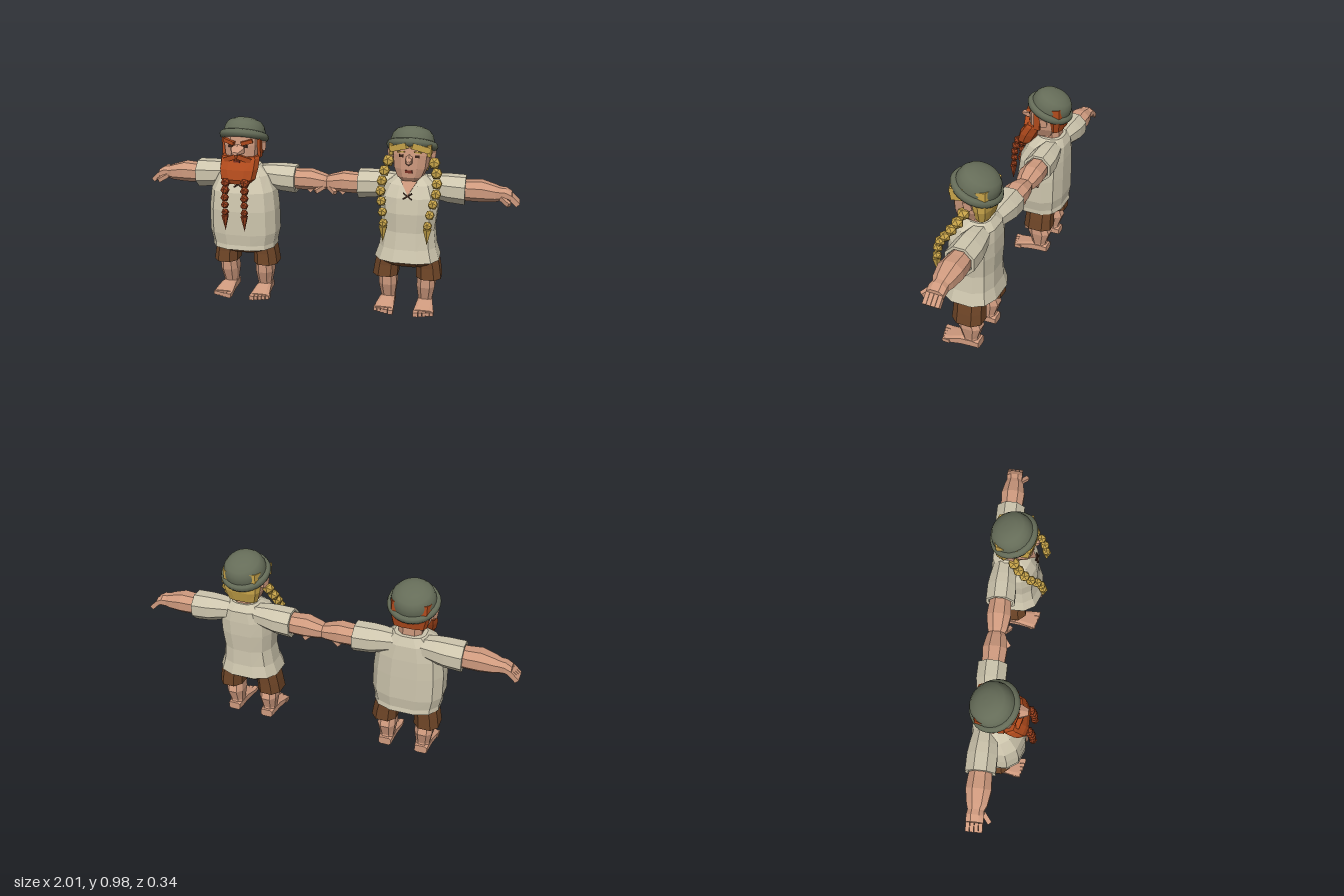
import * as THREE from 'three';

const colours = {
  skin: 0xcf9a7e, shirt: 0xcdc5ad, trousers: 0x6e4527, hat: 0x656c58, ginger: 0xb04a1c,
  gingerBraid: 0x983f1d, blond: 0xc9a54a, dark: 0x3a241a, lips: 0x7a2f24,
};
const mats = {};
for (const [name, color] of Object.entries(colours)) {
  mats[name] = new THREE.MeshStandardMaterial({ color, flatShading: name !== 'hat' });
  mats[name].name = name;
}

// Maps ring coordinates (u across, t along, v outward) so that t runs along the given axis
const place = {
  y: (u, t, v) => [u, t, v],
  x: (u, t, v) => [t, v, u],
  z: (u, t, v) => [v, u, t],
};

// Skin over rings [t, u centre, v centre, u half-size, v half-size], ascending in t
function loft(axis, rings, n = 8, power = 0.8) {
  const pow = (a) => Math.sign(a) * Math.abs(a) ** power;
  const circle = [];
  for (let i = 0; i < n; i++) {
    const a = ((i + 0.5) / n) * Math.PI * 2;
    circle.push([pow(Math.sin(a)), pow(Math.cos(a))]);
  }
  const mu = Math.max(...circle.map((p) => Math.abs(p[0])));
  const mv = Math.max(...circle.map((p) => Math.abs(p[1])));
  const pos = [], index = [];
  for (const [t, cu, cv, ru, rv] of rings)
    for (const [u, v] of circle) pos.push(...place[axis](cu + (ru * u) / mu, t, cv + (rv * v) / mv));
  const last = rings.length - 1;
  for (let r = 0; r < last; r++)
    for (let i = 0; i < n; i++) {
      const j = (i + 1) % n, a = r * n + i, b = r * n + j;
      index.push(a, b, b + n, a, b + n, a + n);
    }
  for (let i = 1; i < n - 1; i++) {
    index.push(0, i + 1, i);
    index.push(last * n, last * n + i, last * n + i + 1);
  }
  const g = new THREE.BufferGeometry();
  g.setAttribute('position', new THREE.Float32BufferAttribute(pos, 3));
  g.setIndex(index);
  return finish(g);
}

function finish(g) {
  const out = g.index ? g.toNonIndexed() : g;
  out.computeVertexNormals();
  return out;
}

// Upright body rings given as [y, half width, front z, back z]
const body = (rings, n, power) =>
  loft('y', rings.map(([y, w, f, b]) => [y, 0, (f + b) / 2, w, (f - b) / 2]), n, power);

function box(size, at, rot = [0, 0, 0]) {
  const g = new THREE.BoxGeometry(...size);
  g.applyMatrix4(new THREE.Matrix4().makeRotationFromEuler(new THREE.Euler(...rot)));
  return g.translate(...at);
}

// Mirrors a geometry in x, keeping its faces outward
function mirror(g) {
  const out = g.index ? g.toNonIndexed() : g.clone();
  const p = out.attributes.position;
  for (let i = 0; i < p.count; i += 3) {
    const tri = [0, 2, 1].map((k) => [-p.getX(i + k), p.getY(i + k), p.getZ(i + k)]);
    tri.forEach((v, k) => p.setXYZ(i + k, ...v));
  }
  out.computeVertexNormals();
  return out;
}

function add(group, name, geo, mat) {
  const m = new THREE.Mesh(geo, mats[mat]);
  m.name = name;
  group.add(m);
  return m;
}
function pair(group, name, geo, mat) {
  add(group, 'left' + name, geo, mat);
  add(group, 'right' + name, mirror(geo), mat);
}

function addLimbs(g) {
  // sleeves with a turned-in cuff, arms and hands
  pair(g, 'Sleeve', loft('x', [
    [0.07, -0.085, 0.665, 0.055, 0.05], [0.14, -0.085, 0.66, 0.068, 0.063], [0.19, -0.086, 0.655, 0.074, 0.07],
    [0.278, -0.086, 0.65, 0.074, 0.073], [0.279, -0.086, 0.65, 0.06, 0.06], [0.255, -0.086, 0.65, 0.058, 0.058],
  ], 8, 1), 'shirt');
  pair(g, 'Arm', loft('x', [
    [0.24, -0.085, 0.65, 0.05, 0.05], [0.3, -0.085, 0.65, 0.058, 0.051], [0.36, -0.085, 0.652, 0.062, 0.053],
    [0.43, -0.085, 0.644, 0.05, 0.041], [0.455, -0.087, 0.642, 0.04, 0.034], [0.48, -0.088, 0.644, 0.043, 0.031],
    [0.512, -0.088, 0.632, 0.042, 0.024],
  ], 8, 0.9), 'skin');
  for (let i = 0; i < 4; i++)
    pair(g, 'Finger' + (i + 1), box([0.055, 0.024, 0.019], [0.526, 0.614, -0.12 + i * 0.021], [0, 0, -0.75]), 'skin');
  pair(g, 'Thumb', box([0.06, 0.022, 0.022], [0.482, 0.616, -0.036], [0, -0.7, -0.4]), 'skin');

  // shorts, lower legs, feet and toes
  add(g, 'hips', body([[0.25, 0.11, 0.05, -0.11], [0.28, 0.155, 0.085, -0.145], [0.305, 0.155, 0.085, -0.145]], 10), 'trousers');
  pair(g, 'TrouserLeg', loft('y', [
    [0.178, 0.115, -0.04, 0.066, 0.08], [0.24, 0.11, -0.042, 0.062, 0.076], [0.3, 0.098, -0.042, 0.062, 0.076],
  ], 8), 'trousers');
  pair(g, 'Shin', loft('y', [
    [0.02, 0.1, -0.045, 0.036, 0.045], [0.055, 0.1, -0.042, 0.037, 0.04], [0.125, 0.102, -0.042, 0.048, 0.063],
    [0.165, 0.102, -0.034, 0.046, 0.056], [0.2, 0.102, -0.036, 0.048, 0.055],
  ], 8), 'skin');
  pair(g, 'Foot', loft('z', [
    [-0.095, 0.022, 0.1, 0.022, 0.034], [-0.05, 0.026, 0.1, 0.026, 0.038], [0.0, 0.026, 0.102, 0.026, 0.041],
    [0.05, 0.019, 0.104, 0.019, 0.048], [0.09, 0.014, 0.104, 0.014, 0.052],
  ], 8, 0.5), 'skin');
  for (let i = 0; i < 5; i++) {
    const size = i ? 0.018 : 0.026;
    pair(g, 'Toe' + (i + 1), box([size, 0.024 - i * 0.001, 0.04], [(i ? 0.071 : 0.066) + i * 0.0195, 0.0125, 0.102 - i * 0.006]), 'skin');
  }
}

function addHat(g) {
  const hat = new THREE.Group();
  hat.name = 'hat';
  hat.position.set(0, 0.878, -0.043);
  hat.rotation.x = -0.4;
  const profile = [[0.112, 0], [0.111, 0.03], [0.103, 0.058], [0.085, 0.08], [0.052, 0.094], [0.025, 0.098], [0, 0.099]];
  add(hat, 'hatDome', new THREE.LatheGeometry(profile.map((p) => new THREE.Vector2(...p)), 24), 'hat');
  add(hat, 'hatBrim', new THREE.TorusGeometry(0.11, 0.022, 8, 28).rotateX(Math.PI / 2), 'hat');
  g.add(hat);
}

// Plait of faceted beads along a curve, ending in a pointed tuft
function addPlait(g, points, beads, r0, r1, mat) {
  const curve = new THREE.CatmullRomCurve3(points.map((p) => new THREE.Vector3(...p)));
  for (let i = 0; i < beads; i++) {
    const f = i / (beads - 1), p = curve.getPointAt(f);
    const r = THREE.MathUtils.lerp(r0, r1, f);
    pair(g, 'PlaitBead' + (i + 1), finish(new THREE.IcosahedronGeometry(r, 0).translate(p.x, p.y, p.z)), mat);
  }
  const end = curve.getPointAt(1);
  const tuft = new THREE.ConeGeometry(r1 * 0.95, 0.085, 6).rotateX(Math.PI).translate(end.x, end.y - 0.058, end.z + 0.004);
  pair(g, 'PlaitTuft', tuft, mat);
}

function addFace(g, noseWidth, noseTip) {
  add(g, 'neck', body([[0.68, 0.06, 0.005, -0.11], [0.8, 0.06, 0.005, -0.11]], 8), 'skin');
  add(g, 'head', body([
    [0.712, 0.045, 0.04, -0.07], [0.735, 0.07, 0.056, -0.09], [0.78, 0.09, 0.06, -0.115],
    [0.85, 0.098, 0.06, -0.125], [0.92, 0.095, 0.05, -0.12],
  ], 10, 0.7), 'skin');
  add(g, 'nose', loft('z', [
    [0.05, 0.83, 0, 0.032, noseWidth], [0.08, 0.825, 0, 0.022, noseWidth * 0.9], [noseTip, 0.82, 0, 0.008, noseWidth * 0.45],
  ], 6, 0.9), 'skin');
  pair(g, 'Ear', box([0.022, 0.05, 0.035], [0.106, 0.835, -0.045], [0.2, 0.35, -0.15]), 'skin');
  pair(g, 'Eye', box([0.022, 0.013, 0.008], [0.04, 0.848, 0.059]), 'dark');
  // crossed lacing at the neck
  for (const s of [-1, 1])
    add(g, 'lace', box([0.055, 0.007, 0.008], [0, 0.645, 0.082], [-0.4, 0, s * 0.6]), 'dark');
}

function createMan() {
  const g = new THREE.Group();
  g.name = 'beardedMan';
  addLimbs(g);
  add(g, 'shirt', body([
    [0.285, 0.172, 0.115, -0.155], [0.31, 0.172, 0.11, -0.15], [0.37, 0.185, 0.115, -0.158], [0.5, 0.183, 0.113, -0.157],
    [0.6, 0.172, 0.1, -0.155], [0.68, 0.135, 0.06, -0.15], [0.725, 0.08, 0.01, -0.13],
  ], 12, 0.75), 'shirt');
  addFace(g, 0.036, 0.118);
  add(g, 'backHair', body([[0.775, 0.085, -0.07, -0.13], [0.84, 0.101, -0.06, -0.142], [0.91, 0.101, -0.04, -0.14]], 10, 0.7), 'ginger');
  add(g, 'beard', body([
    [0.655, 0.065, 0.115, 0.06], [0.68, 0.095, 0.126, 0.03], [0.73, 0.105, 0.113, 0], [0.78, 0.106, 0.08, -0.025],
    [0.792, 0.1, 0.066, -0.025],
  ], 10, 0.7), 'ginger');
  pair(g, 'Sideburn', box([0.016, 0.1, 0.035], [0.097, 0.83, -0.005]), 'ginger');
  pair(g, 'Moustache', box([0.075, 0.024, 0.026], [0.036, 0.786, 0.078], [0, 0.3, -0.35]), 'ginger');
  pair(g, 'Eyebrow', box([0.062, 0.02, 0.022], [0.048, 0.87, 0.06], [0, 0.25, 0.25]), 'ginger');
  add(g, 'mouth', box([0.035, 0.01, 0.008], [0, 0.772, 0.089]), 'lips');
  addPlait(g, [[0.053, 0.665, 0.125], [0.054, 0.6, 0.143], [0.053, 0.51, 0.148]], 5, 0.026, 0.021, 'gingerBraid');
  addHat(g);
  return g;
}

function createWoman() {
  const g = new THREE.Group();
  g.name = 'plaitedWoman';
  addLimbs(g);
  add(g, 'shirt', body([
    [0.295, 0.168, 0.12, -0.165], [0.36, 0.147, 0.1, -0.15], [0.45, 0.135, 0.088, -0.147], [0.55, 0.146, 0.092, -0.155],
    [0.63, 0.147, 0.08, -0.155], [0.69, 0.12, 0.05, -0.15], [0.725, 0.07, 0, -0.12],
  ], 12, 0.75), 'shirt');
  addFace(g, 0.017, 0.09);
  // open neckline
  const v = new THREE.Shape([[0, 0], [0.042, 0.075], [-0.042, 0.075]].map((p) => new THREE.Vector2(...p)));
  const neckline = new THREE.ExtrudeGeometry(v, { depth: 0.006, bevelEnabled: false });
  add(g, 'neckline', neckline.rotateX(-0.4636).translate(0, 0.645, 0.072), 'skin');
  add(g, 'lips', box([0.036, 0.014, 0.008], [0, 0.768, 0.06]), 'lips');
  pair(g, 'Eyebrow', box([0.038, 0.007, 0.008], [0.042, 0.868, 0.058], [0, 0.2, -0.15]), 'blond');
  // hair: back, sides and parted fringe
  add(g, 'backHair', body([[0.74, 0.08, -0.06, -0.12], [0.8, 0.1, -0.05, -0.137], [0.91, 0.104, -0.03, -0.142]], 10, 0.7), 'blond');
  pair(g, 'SideHair', box([0.02, 0.06, 0.09], [0.096, 0.88, 0.0], [0.15, 0, 0]), 'blond');
  pair(g, 'Fringe', box([0.095, 0.03, 0.03], [0.054, 0.89, 0.052], [0, 0.35, -0.3]), 'blond');
  addPlait(g, [
    [0.118, 0.795, -0.03], [0.135, 0.74, 0], [0.14, 0.65, 0.065], [0.125, 0.595, 0.105], [0.112, 0.51, 0.125],
  ], 7, 0.033, 0.025, 'blond');
  addHat(g);
  return g;
}

export function createModel() {
  const model = new THREE.Group();
  model.name = 'pairOfVillagers';
  const man = createMan(), woman = createWoman();
  man.position.x = -0.449;
  woman.position.x = 0.449;
  model.add(man, woman);
  return model;
}
